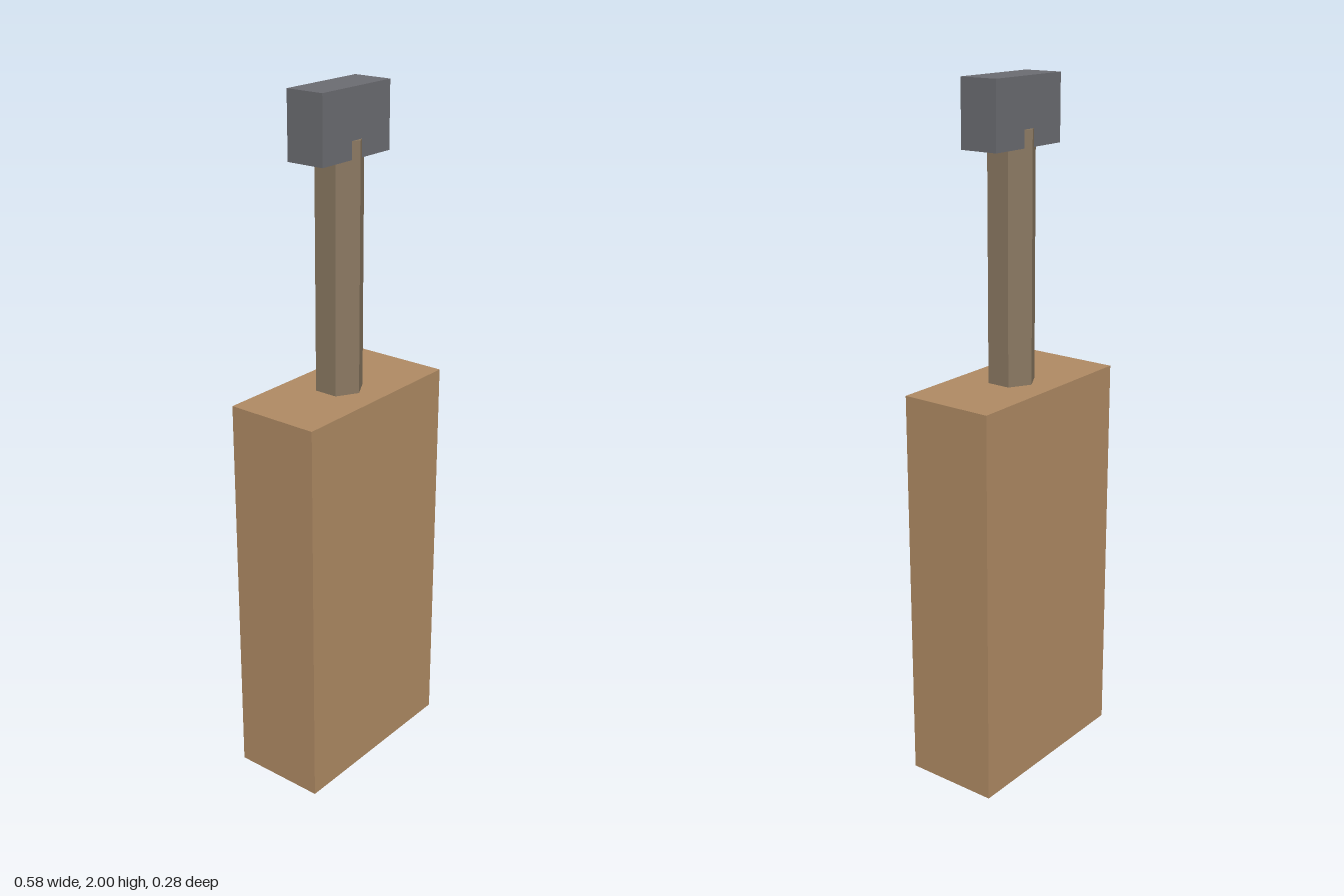
import * as THREE from 'three';

function addPart(group, name, geometry, color, bottom, top) {
  const material = new THREE.MeshStandardMaterial({ color });
  material.flatShading = true;
  const mesh = new THREE.Mesh(geometry, material);
  mesh.name = name;
  mesh.position.y = (bottom + top) / 2;
  group.add(mesh);
}

export function createModel() {
  const group = new THREE.Group();
  group.name = 'paddle';

  // Broad block at the base
  addPart(group, 'block', new THREE.BoxGeometry(0.58, 1.163, 0.28), 0xb08b64, 0, 1.163);

  // Six-sided handle, one edge facing front, its top sunk into the cap
  addPart(group, 'handle', new THREE.CylinderGeometry(0.07, 0.07, 0.7, 6), 0x8b7962, 1.163, 1.863);

  // Cross-piece at the top
  addPart(group, 'cap', new THREE.BoxGeometry(0.28, 0.186, 0.116), 0x6c6d72, 1.814, 2);

  return group;
}
